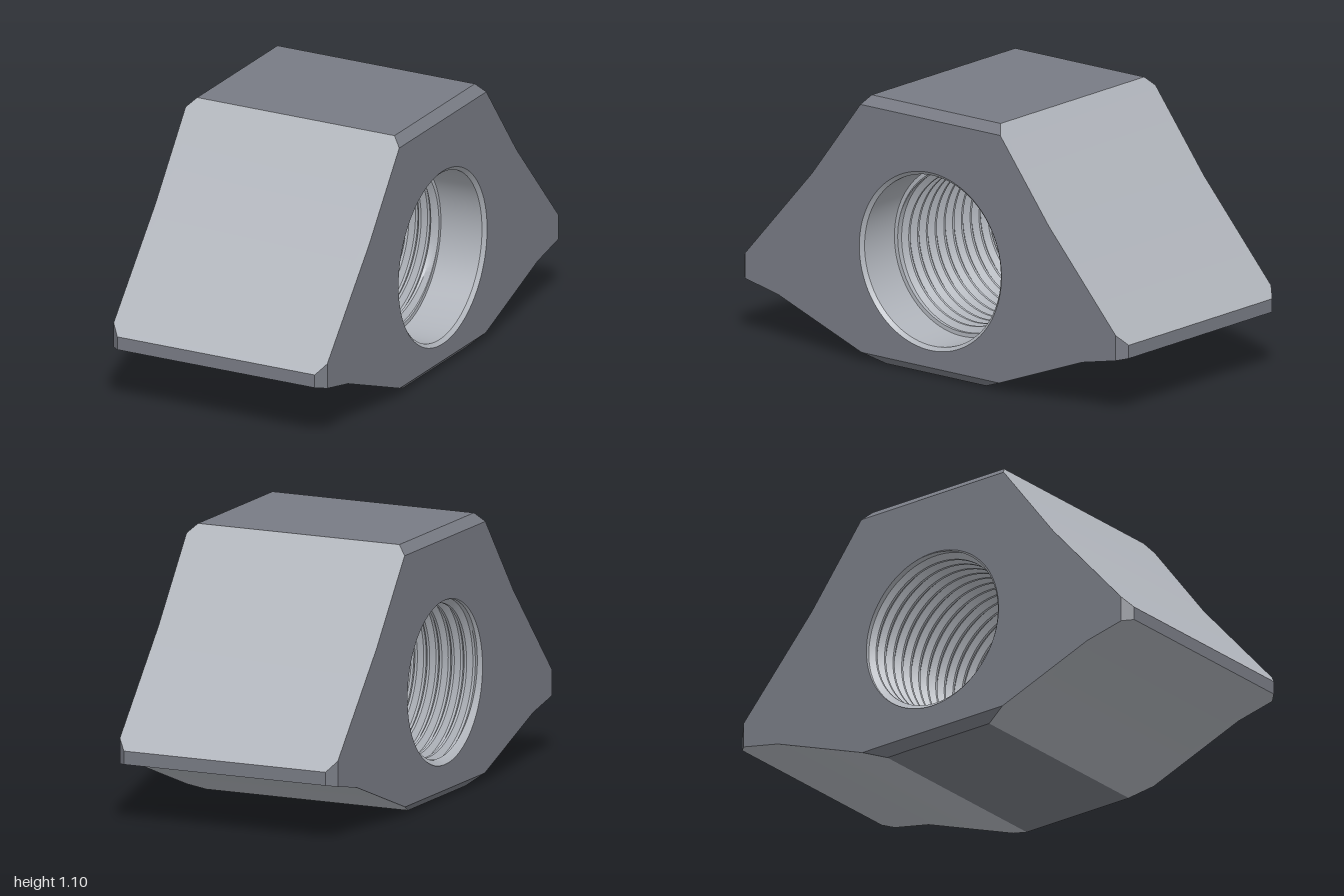
import * as THREE from 'three';
import { toCreasedNormals } from 'three/addons/utils/BufferGeometryUtils.js';

const HALF = 0.487;      // half width along x
const CHAMFER = 0.037;
const AXIS_Y = 0.478;    // height of the bore axis
const SEGS = 96;
const MOUTH = 0.369, WALL = 0.354, MAJOR = 0.337, MINOR = 0.314;
const PITCH = 0.055, FLOOR_X = 0.285;

// Closed side profile in (z, y); c trims the top, bottom, front and back by c
function profile(c) {
  const half = [
    [0.335 + c / 1.31, 1.103 - c],      // top edge
    [0.615, 0.735],                     // shoulder
    [1 - c, 0.3 + 1.13 * c],            // nose, upper edge
    [1 - c, 0.245 - 0.215 * c],         // nose, lower edge
    [0.79, 0.2],                        // belly
    [0.26 + c / 0.377, c],              // foot edge
  ].map(([z, y]) => new THREE.Vector2(z, y));
  return [...half, ...half.map(p => new THREE.Vector2(-p.x, p.y)).reverse()];
}

// Skin rows of [x, y, z] points, all rows equally long
function skin(rows, crease) {
  const n = rows[0].length, index = [];
  for (let r = 0; r < rows.length - 1; r++) {
    for (let i = 0; i < n - 1; i++) {
      const a = r * n + i, b = a + 1, c = a + n, d = c + 1;
      index.push(a, b, c, b, d, c);
    }
  }
  const g = new THREE.BufferGeometry();
  g.setAttribute('position', new THREE.Float32BufferAttribute(rows.flat(2), 3));
  g.setIndex(index);
  return toCreasedNormals(g, crease);
}

// Part of the outer shell between two profile corners, with trimmed ends
function shellStrip(first, last) {
  const sections = [
    [-HALF, CHAMFER], [-HALF + CHAMFER, 0], [HALF - CHAMFER, 0], [HALF, CHAMFER],
  ];
  return skin(sections.map(([x, c]) => {
    const loop = profile(c);
    return [...loop, loop[0]].slice(first, last + 1).map(p => [x, p.y, p.x]);
  }), 0.2);
}

function borePoint(x, r, i) {
  const t = ((i % SEGS) / SEGS) * Math.PI * 2;
  return [x, AXIS_Y + r * Math.cos(t), r * Math.sin(t)];
}
const steps = Array.from({ length: SEGS + 1 }, (_, i) => i);

// Flat side face with the bore opening cut out
function sideGeometry(side, radius) {
  const shape = new THREE.Shape(profile(CHAMFER));
  const ring = steps.slice(0, SEGS).map(i => {
    const [, y, z] = borePoint(0, radius, i);
    return new THREE.Vector2(z, y);
  });
  shape.holes.push(new THREE.Path(ring));
  return new THREE.ShapeGeometry(shape)
    .rotateY(side * Math.PI / 2)
    .translate(side * HALF, 0, 0);
}

// Counterbore with a bevelled mouth and a narrow floor
function counterboreGeometry() {
  const stations = [[HALF, MOUTH], [HALF - 0.015, WALL], [FLOOR_X, WALL], [FLOOR_X, MAJOR]];
  return skin(stations.map(([x, r]) => steps.map(i => borePoint(x, r, i))), 0.3);
}

// Helical thread: crest, crest, root, root per turn, bevelled at both ends
function threadGeometry() {
  const radii = [MINOR, MINOR, MAJOR, MAJOR];
  const offsets = [0, 0.2, 0.5, 0.7];
  const turns = Math.ceil((FLOOR_X + HALF) / PITCH) + 1;
  const rows = [];
  for (let k = 0; k <= turns * 4; k++) {
    const turn = Math.floor(k / 4) + offsets[k % 4];
    rows.push(steps.map(i => {
      const raw = FLOOR_X - PITCH * (turn - i / SEGS);
      const x = THREE.MathUtils.clamp(raw, -HALF, FLOOR_X);
      const fromEnd = Math.min(FLOOR_X - x, x + HALF);
      return borePoint(x, Math.max(radii[k % 4], MAJOR - fromEnd), i);
    }));
  }
  return skin(rows, 0.5);
}

export function createModel() {
  const group = new THREE.Group();
  group.name = 'threadedBlock';
  const dark = new THREE.MeshStandardMaterial({ color: 0x787b84 });
  const light = new THREE.MeshStandardMaterial({ color: 0xafb3ba });
  const add = (name, geometry, material) => {
    const mesh = new THREE.Mesh(geometry, material);
    mesh.name = name;
    group.add(mesh);
  };
  // Bright slopes
  add('frontUpperSlope', shellStrip(0, 2), light);
  add('frontLowerSlope', shellStrip(3, 5), light);
  add('backLowerSlope', shellStrip(6, 8), light);
  add('backUpperSlope', shellStrip(9, 11), light);
  // Dark flats with chamfered ends
  add('frontNose', shellStrip(2, 3), dark);
  add('base', shellStrip(5, 6), dark);
  add('backNose', shellStrip(8, 9), dark);
  add('top', shellStrip(11, 12), dark);
  add('leftFace', sideGeometry(1, MOUTH), dark);
  add('rightFace', sideGeometry(-1, MAJOR), dark);
  // Bright bore
  add('counterbore', counterboreGeometry(), light);
  add('thread', threadGeometry(), light);
  return group;
}
